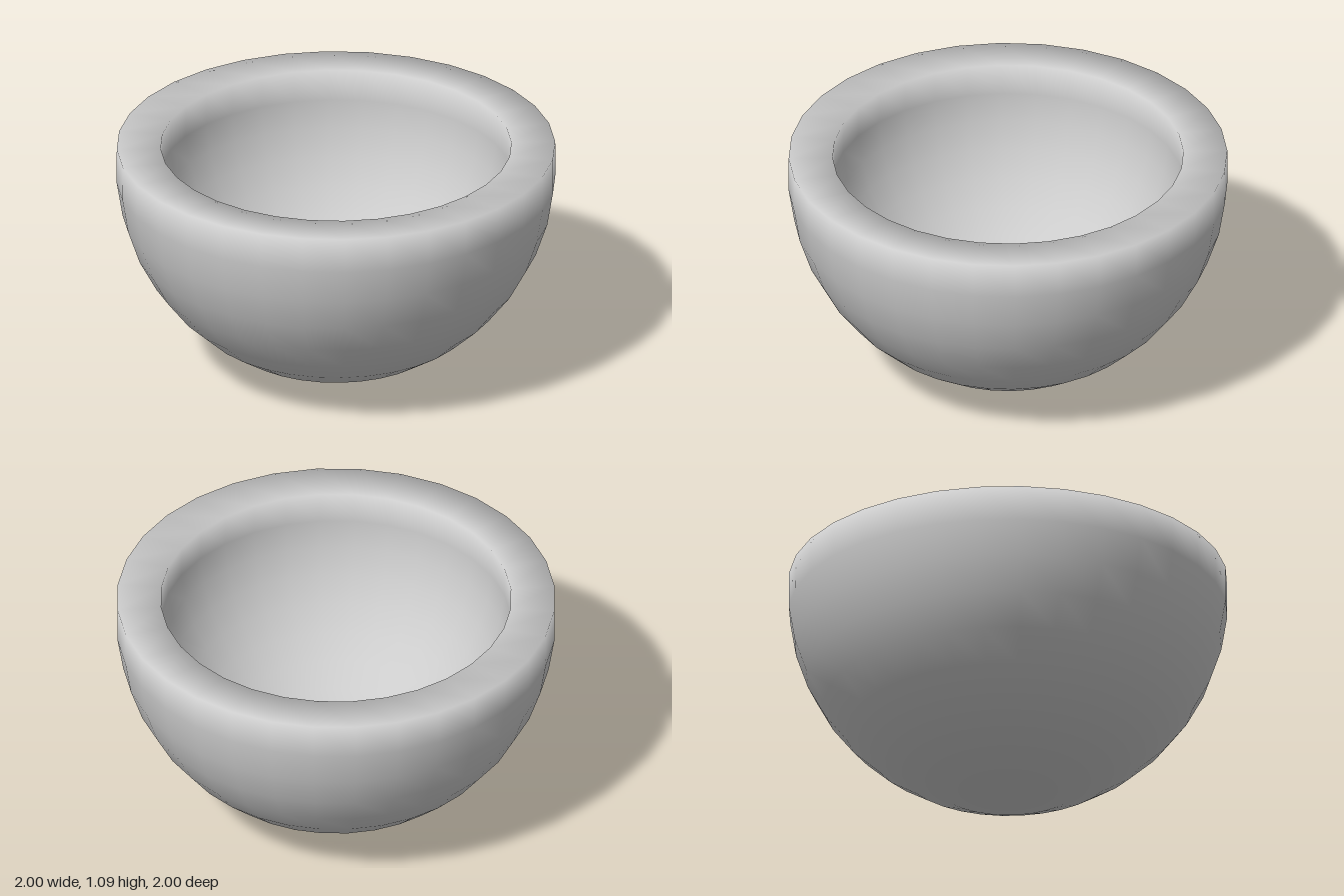
import * as THREE from 'three';

const R = 1.003;          // outer radius, also the height of the sphere's centre
const WALL = 0.2;         // wall thickness
const ROWS = 10;
const SEGMENTS = 32;
const SWEEP = THREE.MathUtils.degToRad(95); // the shell runs slightly past the equator

// Profile of one shell from its pole up to the rim
function shellProfile(radius) {
  const points = [];
  for (let i = 0; i <= ROWS; i++) {
    const a = SWEEP * i / ROWS;
    points.push(new THREE.Vector2(radius * Math.sin(a), R - radius * Math.cos(a)));
  }
  points[0].x = 0;
  return points;
}

export function createModel() {
  const group = new THREE.Group();
  group.name = 'bowl';

  // Outer shell, level rim and inner shell in one smooth closed profile
  const outer = shellProfile(R);
  const inner = shellProfile(R - WALL);
  inner[ROWS].set(outer[ROWS].x - WALL, outer[ROWS].y);
  const geometry = new THREE.LatheGeometry([...outer, ...inner.reverse()], SEGMENTS);

  // Straight normals at both poles: down outside, up inside
  const { position, normal } = geometry.attributes;
  for (let i = 0; i < position.count; i++) {
    if (Math.hypot(position.getX(i), position.getZ(i)) < 1e-6) {
      normal.setXYZ(i, 0, position.getY(i) < WALL / 2 ? -1 : 1, 0);
    }
  }

  const material = new THREE.MeshStandardMaterial({ color: 0xcccccc });
  const body = new THREE.Mesh(geometry, material);
  body.name = 'bowlBody';
  group.add(body);
  return group;
}
